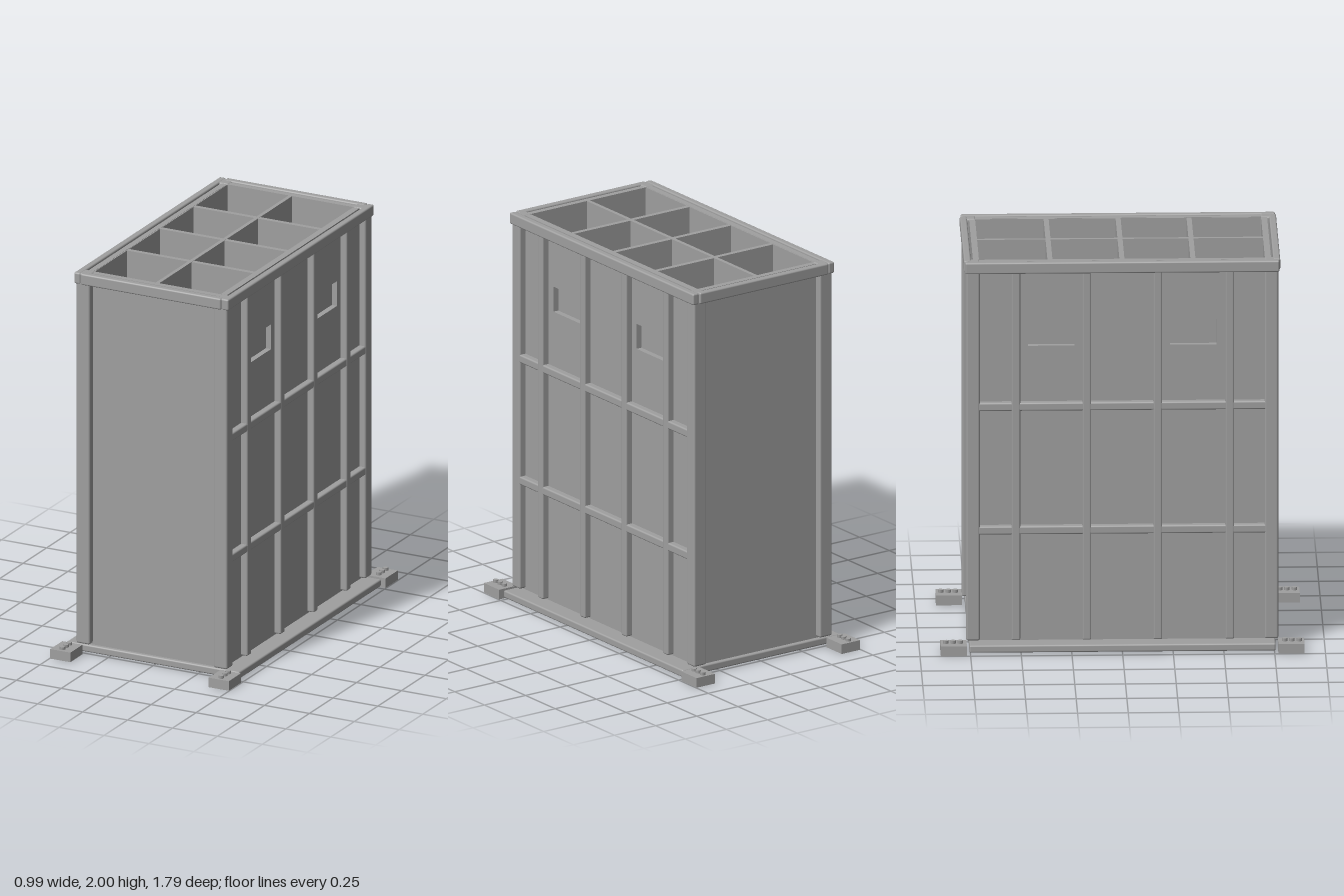
import * as THREE from 'three';
import { RoundedBoxGeometry } from 'three/addons/geometries/RoundedBoxGeometry.js';

export function createModel() {
  const model = new THREE.Group();
  model.name = 'cellContainer';
  const steel = new THREE.MeshStandardMaterial({ color: 0xa0a0a0 });
  steel.name = 'grey steel';

  const add = (name, geometry) => {
    const mesh = new THREE.Mesh(geometry, steel);
    mesh.name = name;
    model.add(mesh);
    return mesh;
  };
  // Box from its limits; a radius above zero rounds its edges
  const block = (name, x0, x1, y0, y1, z0, z1, r = 0) => {
    const size = [x1 - x0, y1 - y0, z1 - z0];
    const g = r ? new RoundedBoxGeometry(...size, 2, r) : new THREE.BoxGeometry(...size);
    g.translate((x0 + x1) / 2, (y0 + y1) / 2, (z0 + z1) / 2);
    return add(name, g);
  };

  // Base plate
  block('basePlate', -0.48, 0.48, 0.01, 0.048, -0.755, 0.755, 0.008);

  // Dividers between the eight open cells
  block('longDivider', -0.01, 0.01, 0.045, 1.995, -0.705, 0.705);
  for (const z of [-0.355, 0, 0.35]) {
    block('crossDivider', -0.352, 0.352, 0.045, 1.994, z - 0.0125, z + 0.0125);
  }

  // Side skin with two blind pockets
  const skin = new THREE.Shape();
  skin.moveTo(-0.735, 0.045).lineTo(0.735, 0.045).lineTo(0.735, 1.995).lineTo(-0.735, 1.995).closePath();
  for (const z of [-0.35, 0.35]) {
    const hole = new THREE.Path();
    hole.moveTo(z - 0.115, 1.56).lineTo(z - 0.115, 1.69).lineTo(z + 0.115, 1.69).lineTo(z + 0.115, 1.56).closePath();
    skin.holes.push(hole);
  }
  const skinGeometry = new THREE.ExtrudeGeometry(skin, { depth: 0.03, bevelEnabled: false });

  for (const s of [-1, 1]) {
    const span = (a, b) => (s > 0 ? [a, b] : [-b, -a]);

    // Side wall: skin and its backing
    const wall = add('sideWall', skinGeometry);
    wall.rotation.y = s * Math.PI / 2;
    wall.position.x = s * 0.355;
    block('sideWallBacking', ...span(0.35, 0.356), 0.045, 1.994, -0.73, 0.73);

    // Upright and horizontal ribs
    for (const z of [-0.525, -0.175, 0.175, 0.53]) {
      block('uprightRib', ...span(0.375, 0.42), 0.055, 1.97, z - 0.022, z + 0.022, 0.008);
    }
    for (const y of [0.62, 1.255]) {
      block('horizontalRib', ...span(0.375, 0.418), y - 0.021, y + 0.021, -0.74, 0.74, 0.008);
    }

    // End wall
    block('endWall', -0.355, 0.355, 0.045, 1.995, ...span(0.705, 0.735));

    // Top rim
    block('sideRim', ...span(0.395, 0.43), 1.942, 2, -0.775, 0.775, 0.008);
    block('endRim', -0.39, 0.39, 1.942, 2, ...span(0.745, 0.78), 0.008);

    for (const t of [-1, 1]) {
      const spanZ = (a, b) => (t > 0 ? [a, b] : [-b, -a]);
      // Corner post
      block('cornerPost', ...span(0.345, 0.42), 0.055, 1.998, ...spanZ(0.702, 0.77), 0.01);
      // Foot with three hexagonal bolts
      block('foot', ...span(0.385, 0.497), 0, 0.05, ...spanZ(0.768, 0.897));
      for (const z of [0.8, 0.835, 0.872]) {
        const bolt = add('footBolt', new THREE.CylinderGeometry(0.014, 0.014, 0.02, 6));
        bolt.position.set(s * 0.442, 0.055, t * z);
      }
    }
  }
  return model;
}
